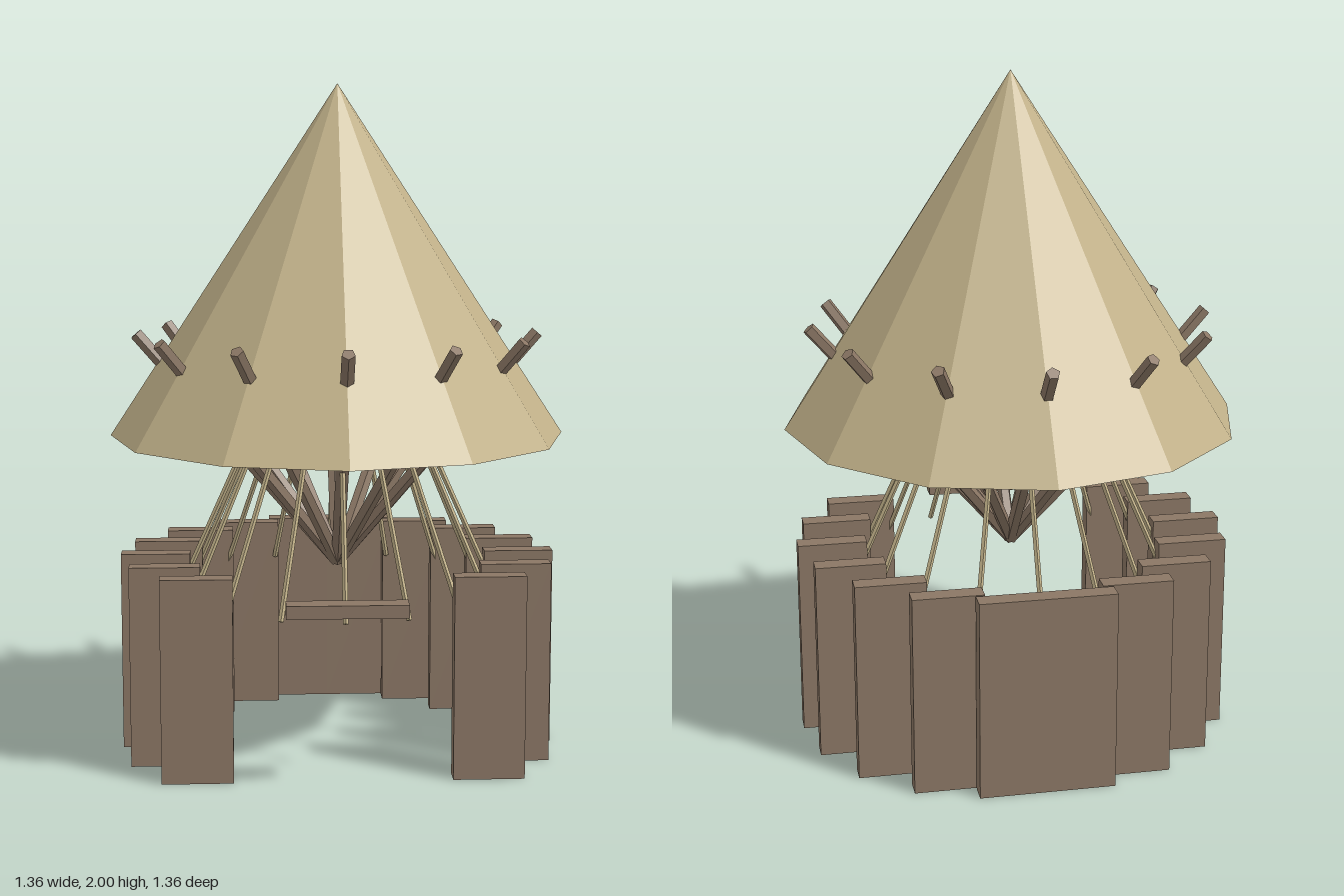
import * as THREE from 'three';

const straw = new THREE.MeshStandardMaterial({ color: 0xc2b28a, flatShading: true });
straw.name = 'straw';
const wood = new THREE.MeshStandardMaterial({ color: 0x8b7765, flatShading: true });
wood.name = 'wood';

function add(parent, name, geometry, material, x = 0, y = 0, z = 0) {
  const mesh = new THREE.Mesh(geometry, material);
  mesh.name = name;
  mesh.position.set(x, y, z);
  parent.add(mesh);
  return mesh;
}

// Straight stick between two points
function stick(parent, name, from, to, radius, sides, material) {
  const dir = to.clone().sub(from);
  const geometry = new THREE.CylinderGeometry(radius, radius, dir.length(), sides);
  const mid = from.clone().add(to).multiplyScalar(0.5);
  const mesh = add(parent, name, geometry, material, mid.x, mid.y, mid.z);
  mesh.quaternion.setFromUnitVectors(new THREE.Vector3(0, 1, 0), dir.normalize());
}

// Point at a given angle around the vertical axis, starting from the front
function around(angle, radius, y) {
  return new THREE.Vector3(Math.sin(angle) * radius, y, Math.cos(angle) * radius);
}

export function createModel() {
  const hut = new THREE.Group();
  hut.name = 'hut';

  // Conical thatched roof
  add(hut, 'roof', new THREE.ConeGeometry(0.68, 1.04, 12), straw, 0, 1.48, 0);

  // Ring of wall planks, all facing the front, with a gap for the doorway
  const walls = new THREE.Group();
  walls.name = 'walls';
  hut.add(walls);
  const plank = new THREE.BoxGeometry(0.208, 0.6, 0.058);
  for (let degrees = 50; degrees <= 310; degrees += 20) {
    const p = around(THREE.MathUtils.degToRad(degrees), 0.55, 0.3);
    add(walls, 'wallPlank', plank, wood, p.x, p.y, p.z);
  }

  // Beam across the doorway
  add(hut, 'doorLintel', new THREE.BoxGeometry(0.34, 0.037, 0.066), wood, 0, 0.553, 0.56);

  // Roof poles spreading from the centre and poking through the thatch
  const poles = new THREE.Group();
  poles.name = 'roofPoles';
  hut.add(poles);
  for (let i = 0; i < 12; i++) {
    const a = (i / 12) * Math.PI * 2;
    stick(poles, 'roofPole', around(a, 0, 0.57), around(a, 0.6, 1.265), 0.02, 5, wood);
  }

  // Thin straw rods hanging from inside the roof
  const rods = new THREE.Group();
  rods.name = 'strawRods';
  hut.add(rods);
  for (let i = 0; i < 16; i++) {
    const a = (i / 16) * Math.PI * 2;
    stick(rods, 'strawRod', around(a, 0.475, 0.49), around(a, 0.16, 1.19), 0.008, 4, straw);
  }

  return hut;
}
